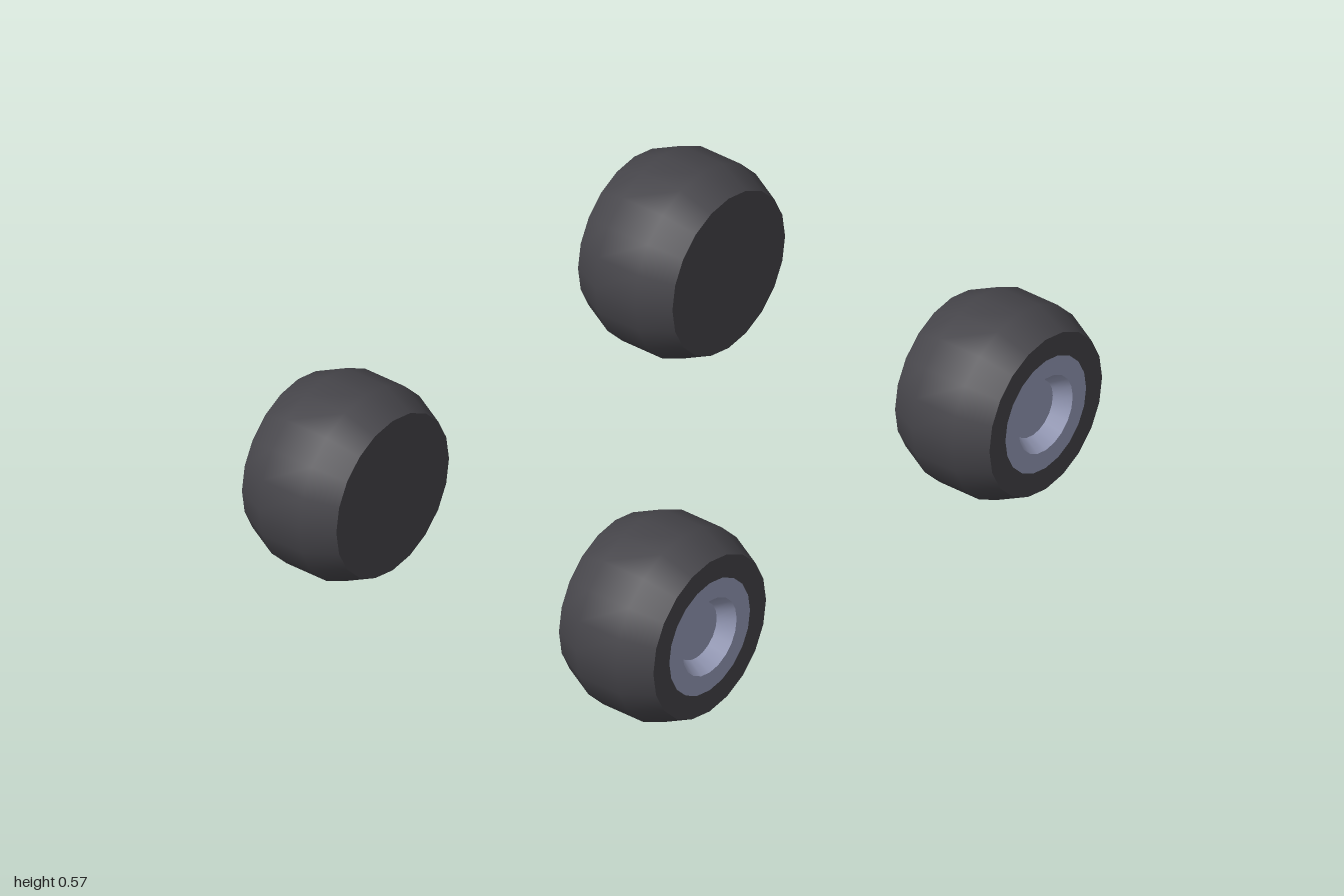
import * as THREE from 'three';

const SEGMENTS = 20;
const R = 0.284;         // tyre radius
const HALF = 0.165;      // half the tyre width
const SIDE_R = 0.24;     // sidewall radius
const RIM_R = 0.172;
const HOLE_R = 0.115;
const HUB_R = 0.085;
const DEPTH = 0.045;     // hub recess

// Surface of revolution about y; each [radius, height] profile is smooth, edges between profiles stay sharp
function lathe(points) {
  return new THREE.LatheGeometry(points.map(([r, y]) => new THREE.Vector2(r, y)), SEGMENTS);
}

export function createModel() {
  const rubber = new THREE.MeshStandardMaterial({ color: 0x454449 });
  rubber.name = 'dark rubber';
  const metal = new THREE.MeshStandardMaterial({ color: 0x989dba });
  metal.name = 'blue grey metal';

  const parts = [
    ['innerSidewall', rubber, [[0, -HALF], [SIDE_R, -HALF]]],
    ['tread', rubber, [[SIDE_R, -HALF], [R, -0.07], [R, 0.07], [SIDE_R, HALF]]],
    ['outerSidewall', rubber, [[SIDE_R, HALF], [RIM_R, HALF]]],
    ['rim', metal, [[RIM_R, HALF], [HOLE_R, HALF]]],
    ['hubWall', metal, [[HOLE_R, HALF], [HUB_R, HALF - DEPTH]]],
    ['hubCap', metal, [[HUB_R, HALF - DEPTH], [0, HALF - DEPTH]]],
  ].map(([name, material, profile]) => ({ name, material, geometry: lathe(profile) }));

  // Four wheels, rims facing outwards
  const model = new THREE.Group();
  model.name = 'wheelSet';
  for (const side of [1, -1]) {
    for (const end of [1, -1]) {
      const wheel = new THREE.Group();
      wheel.name = (end > 0 ? 'front' : 'rear') + (side > 0 ? 'Left' : 'Right') + 'Wheel';
      for (const { name, material, geometry } of parts) {
        const mesh = new THREE.Mesh(geometry, material);
        mesh.name = name;
        wheel.add(mesh);
      }
      wheel.rotation.z = -side * Math.PI / 2;
      wheel.position.set(side * 0.554, R, end * (1 - R));
      model.add(wheel);
    }
  }
  return model;
}
